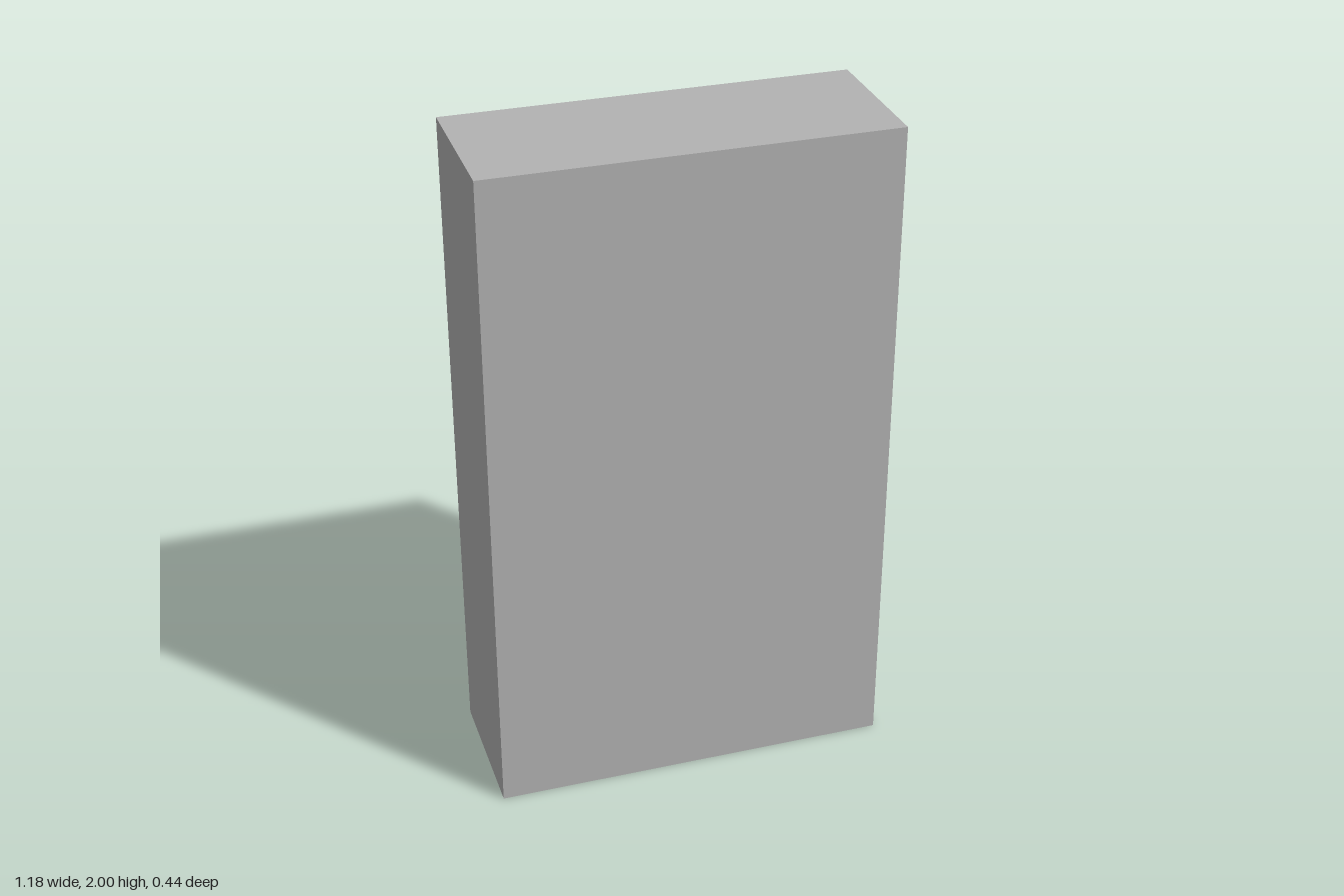
import * as THREE from 'three';

const mat = (name, color, side = THREE.FrontSide) => {
  const m = new THREE.MeshStandardMaterial({ color, side });
  m.name = name;
  return m;
};

export function createModel() {
  const root = new THREE.Group();
  root.name = 'bookcase';
  const grey = mat('grey', 0xb2b2b2);
  const cup = mat('cup grey', 0xc4c4c4, THREE.DoubleSide);
  const white = mat('white', 0xdedede);
  const brown = mat('brown', 0x4e2e1a, THREE.DoubleSide);
  const red = mat('red', 0xb52b2b);
  const green = mat('green', 0x2c7530);

  const W = 1.185, H = 2, D = 0.444, T = 0.03;
  const inner = W - 2 * T;
  const shelfY = [0.03, 0.51, 0.99, 1.47]; // top surface of each shelf

  const add = (parent, name, geo, material, x = 0, y = 0, z = 0) => {
    const mesh = new THREE.Mesh(geo, material);
    mesh.name = name;
    mesh.position.set(x, y, z);
    parent.add(mesh);
    return mesh;
  };
  const group = (name, x, y, z) => {
    const g = new THREE.Group();
    g.name = name;
    g.position.set(x, y, z);
    root.add(g);
    return g;
  };
  const box = (w, h, d) => new THREE.BoxGeometry(w, h, d);
  const lathe = (pts) => new THREE.LatheGeometry(pts.map(([x, y]) => new THREE.Vector2(x, y)), 32);

  // Carcass: closed panel towards +z, shelves open towards -z
  for (const s of [-1, 1]) add(root, 'sidePanel', box(T, H, D), grey, s * (W - T) / 2, H / 2, 0);
  add(root, 'topBoard', box(inner, T, D), grey, 0, H - T / 2, 0);
  add(root, 'closedPanel', box(inner, H - 2 * T, T), grey, 0, H / 2, (D - T) / 2);
  shelfY.forEach((y, i) => {
    const d = i ? D - T : D;
    add(root, 'shelf', box(inner, T, d), grey, 0, y - T / 2, (d - D) / 2);
  });

  // Books: [x of the +x side, thickness, height, z of the spine, depth]
  const books = [
    [[-0.344, 0.045, 0.395, -0.16, 0.33], [-0.417, 0.045, 0.39, -0.16, 0.33], [-0.48, 0.055, 0.39, -0.157, 0.33]],
    [[-0.242, 0.045, 0.38, -0.085, 0.25], [-0.325, 0.05, 0.32, -0.09, 0.25], [-0.405, 0.06, 0.34, -0.115, 0.25]],
    [[-0.247, 0.055, 0.305, -0.124, 0.24], [-0.335, 0.06, 0.295, -0.114, 0.24], [-0.43, 0.075, 0.285, -0.114, 0.24]],
    [[-0.293, 0.035, 0.31, -0.043, 0.23], [-0.36, 0.04, 0.29, -0.057, 0.23], [-0.436, 0.055, 0.25, -0.08, 0.23]],
  ];
  books.forEach((row, i) => row.forEach(([x, t, h, z, d]) =>
    add(root, 'book', box(t, h, d), grey, x - t / 2, shelfY[i] + h / 2, z + d / 2)));

  // Coloured patches lying just above a sphere
  const patches = (g, name, r, material, list, y = 0) => {
    for (const [x, py, z, angle] of list) {
      const cap = add(g, name, new THREE.SphereGeometry(r + 0.001, 9, 4, 0, Math.PI * 2, 0, angle), material, 0, y, 0);
      cap.quaternion.setFromUnitVectors(new THREE.Vector3(0, 1, 0), new THREE.Vector3(x, py, z).normalize());
    }
  };

  // Red balls with white patches
  for (const [x, z, shelf] of [[-0.31, -0.13, 1], [-0.477, -0.16, 2], [-0.31, -0.13, 3]]) {
    const g = group('ball', x, shelfY[shelf] + 0.05, z);
    add(g, 'ballBody', new THREE.SphereGeometry(0.05, 32, 20), red);
    patches(g, 'ballPatch', 0.05, white, [
      [-0.5, 0.25, -0.8, 0.42], [-0.15, 0.4, -0.9, 0.3], [0.9, 0.2, -0.2, 0.4], [0.2, 0.3, 0.9, 0.42]]);
  }

  // Brown canisters
  for (const [x, z, shelf] of [[0.045, -0.02, 2], [-0.202, -0.016, 3]]) {
    add(root, 'canister', new THREE.CylinderGeometry(0.042, 0.042, 0.142, 32), brown, x, shelfY[shelf] + 0.071, z);
  }

  // Shallow brown dishes
  for (const shelf of [1, 3]) {
    add(root, 'dish', new THREE.CylinderGeometry(0.07, 0.05, 0.032, 32), brown, -0.47, shelfY[shelf] + 0.016, -0.15);
  }

  // Mug with a handle towards +x
  const mug = group('mug', -0.106, shelfY[2], -0.015);
  add(mug, 'mugBody', lathe([[0, 0], [0.048, 0], [0.048, 0.13], [0.043, 0.13], [0.043, 0.008], [0, 0.008]]), cup);
  const handle = add(mug, 'mugHandle', new THREE.TorusGeometry(0.036, 0.007, 10, 24, Math.PI), cup, 0.045, 0.07, 0);
  handle.rotation.z = -Math.PI / 2;

  // Small globe on a stand
  const globe = group('globe', -0.12, shelfY[1], -0.01);
  add(globe, 'globeFoot', new THREE.CylinderGeometry(0.05, 0.05, 0.022, 32), brown, 0, 0.011, 0);
  add(globe, 'globePost', new THREE.CylinderGeometry(0.01, 0.01, 0.05, 16), brown, 0, 0.045, 0);
  add(globe, 'globeSphere', new THREE.SphereGeometry(0.06, 32, 20), white, 0, 0.122, 0);
  patches(globe, 'globeLand', 0.06, green, [
    [-0.9, -0.12, 0.1, 0.38], [0.75, 0.35, -0.4, 0.38], [0.1, 0.2, 0.95, 0.45]], 0.122);

  // Potted round shrub
  const plant = group('plant', -0.205, shelfY[0], -0.014);
  add(plant, 'pot', new THREE.CylinderGeometry(0.064, 0.048, 0.085, 32), brown, 0, 0.0425, 0);
  add(plant, 'foliage', new THREE.SphereGeometry(0.073, 32, 20), green, 0, 0.138, 0);

  return root;
}
